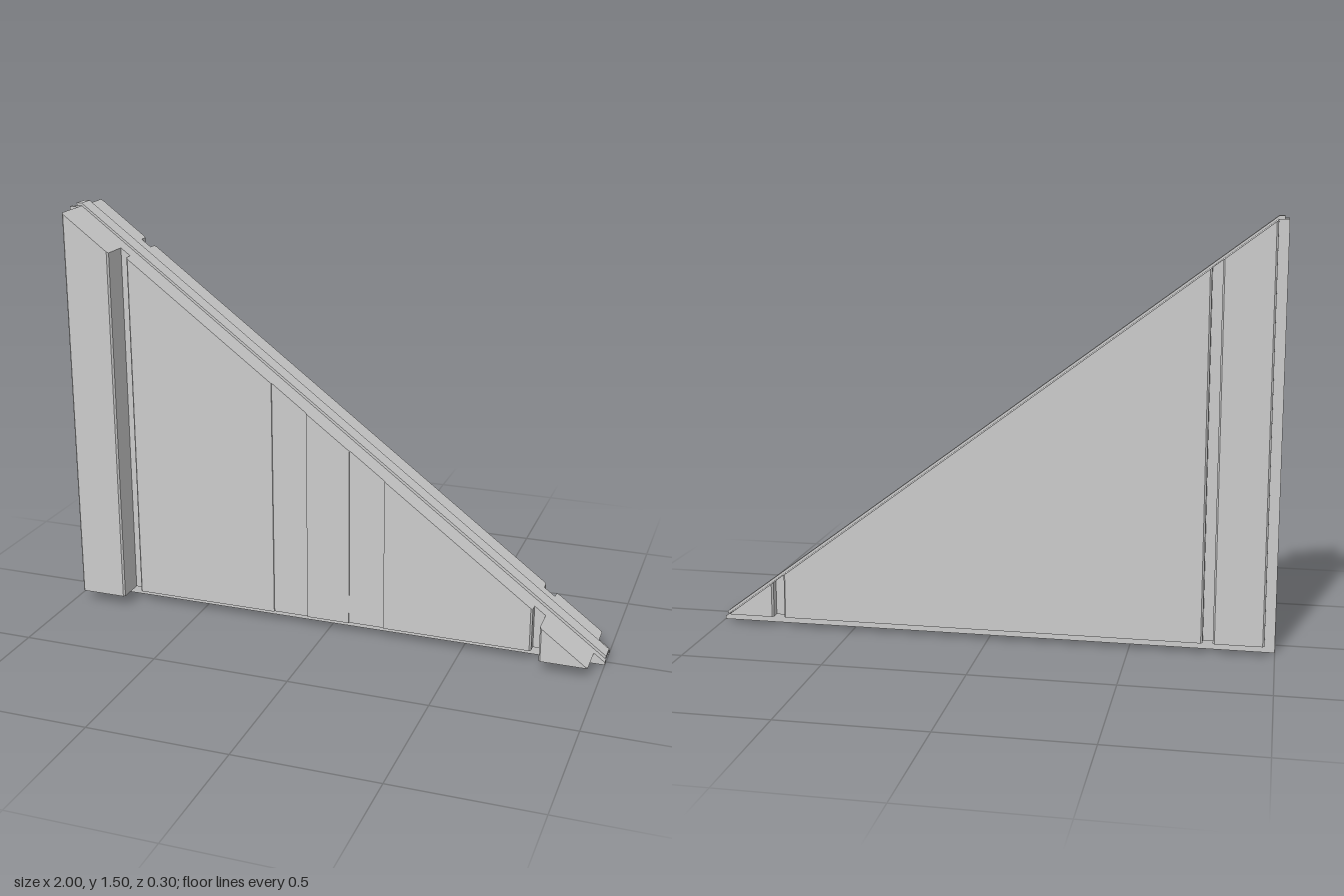
import * as THREE from 'three';

const material = new THREE.MeshStandardMaterial({ color: 0xcccccc, flatShading: true });

// height of the sloping top edge
const slopeY = (x) => 1.485 - 0.7506 * (x + 0.965);

const toShape = (pts) => new THREE.Shape(pts.map(([x, y]) => new THREE.Vector2(x, y)));

// upright triangular plate between two z positions
function plate(name, outline, z0, z1) {
  const geo = new THREE.ExtrudeGeometry(toShape(outline), { depth: z1 - z0, bevelEnabled: false });
  geo.translate(0, 0, z0);
  const mesh = new THREE.Mesh(geo, material);
  mesh.name = name;
  return mesh;
}

// plan profile extruded upward, its top cut along the slope
function slopedPrism(name, plan, base) {
  const shape = toShape(plan.map(([x, z]) => [x, -z]));
  const geo = new THREE.ExtrudeGeometry(shape, { depth: 1, bevelEnabled: false });
  geo.rotateX(-Math.PI / 2);
  const p = geo.attributes.position;
  for (let i = 0; i < p.count; i++) {
    p.setY(i, p.getY(i) > 0.5 ? Math.max(base, slopeY(p.getX(i))) : base);
  }
  geo.computeVertexNormals();
  const mesh = new THREE.Mesh(geo, material);
  mesh.name = name;
  return mesh;
}

export function createModel() {
  const group = new THREE.Group();
  group.name = 'triangularWall';

  // wall plan: front columns, channels and stepped panel, then the channelled back
  const c = 0.006; // small chamfer on exposed corners
  const front = [
    [-0.965, 0.15 - c], [-0.965 + c, 0.15], [-0.79 - c, 0.15], [-0.79, 0.15 - c],
    [-0.79, 0.05], [-0.755, 0.05], [-0.755, 0.085 - c], [-0.755 + c, 0.085],
    [-0.21, 0.085], [-0.21, 0.08], [-0.08, 0.08], [-0.08, 0.085],
    [0.08, 0.085], [0.08, 0.08], [0.21, 0.08], [0.21, 0.085],
    [0.75 - c, 0.085], [0.75, 0.085 - c], [0.75, 0.05], [0.79, 0.05],
    [0.79, 0.15 - c], [0.79 + c, 0.15], [0.96 - c, 0.15], [0.96, 0.15 - c],
  ];
  const back = [
    [0.96, -0.15 + c], [0.96 - c, -0.15], [0.79 + c, -0.15], [0.79, -0.15 + c],
    [0.79, -0.115], [0.75, -0.115], [0.75, -0.15 + c], [0.75 - c, -0.15],
    [-0.755 + c, -0.15], [-0.755, -0.15 + c], [-0.755, -0.115], [-0.79, -0.115],
    [-0.79, -0.15 + c], [-0.79 - c, -0.15], [-0.965 + c, -0.15], [-0.965, -0.15 + c],
  ];
  group.add(slopedPrism('wallBody', [...front, ...back], 0.04));

  // flange around the edge: two cheeks with a groove between them
  const cheek = [[-1, 0], [1, 0], [1, slopeY(1)], [-0.965, 1.485], [-1, 1.485]];
  group.add(plate('frontFlange', cheek, 0, 0.025));
  group.add(plate('backFlange', cheek, -0.085, -0.06));

  // middle web, recessed below and at the side, raised as a ridge along the slope
  const web = [[-0.985, 0.015], [1, 0.015], [1, 0.022], [-0.965, 1.495], [-0.985, 1.495]];
  group.add(plate('ridgeWeb', web, -0.06, 0));

  return group;
}
